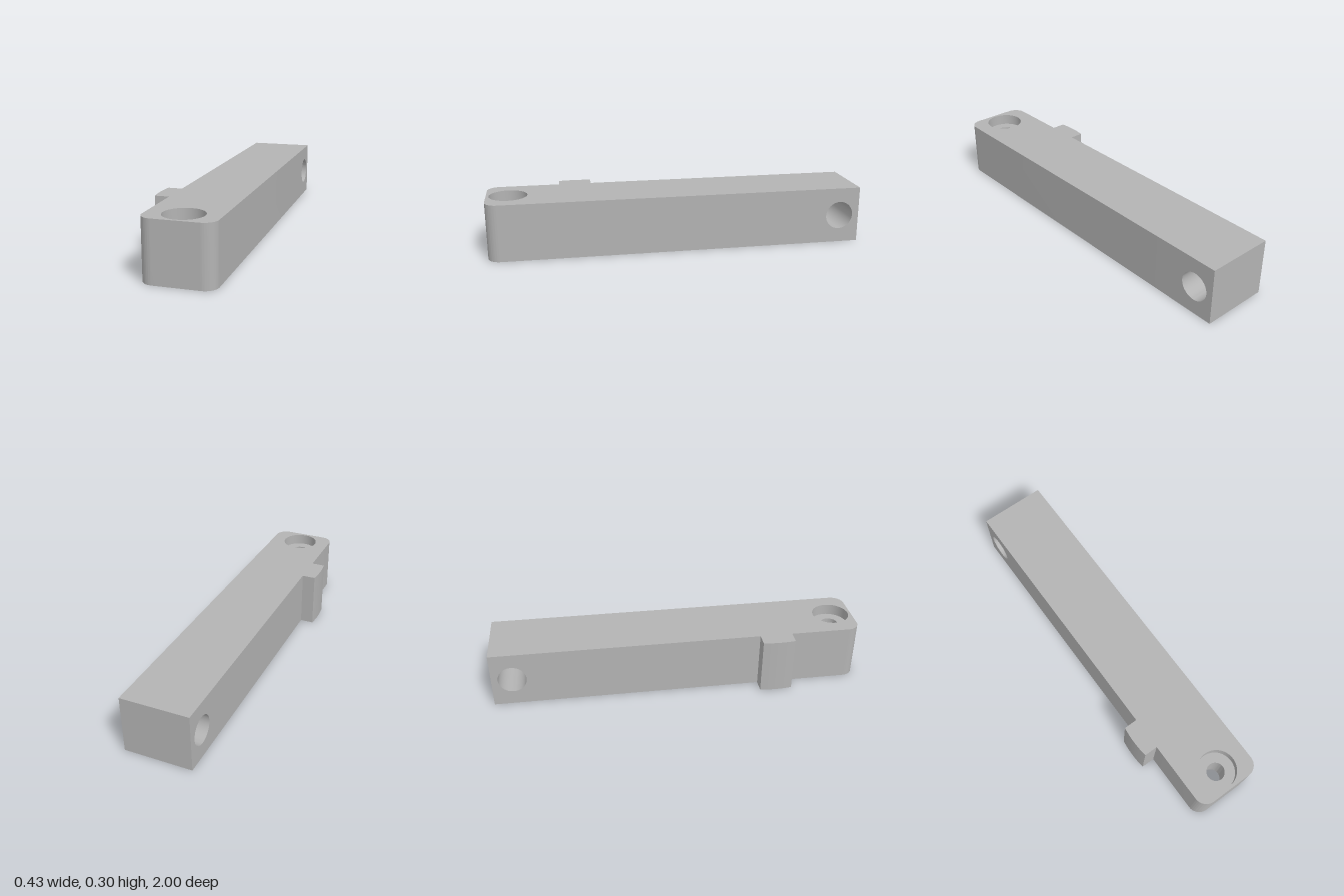
import * as THREE from 'three';
import { toCreasedNormals } from 'three/addons/utils/BufferGeometryUtils.js';

const H = 0.303, X0 = -0.139, X1 = 0.217; // bar height and sides
const SEAM = -0.75;                       // where the two extrusions meet
const R = 0.065;                          // front corner radius
const BORE = { x: 0.039, z: 0.885, wide: 0.1, narrow: 0.047, depth: 0.06 };

const grey = new THREE.MeshStandardMaterial({ color: 0xb3b3b3 });
grey.name = 'plain grey';

function addPart(group, name, geometry) {
  const mesh = new THREE.Mesh(toCreasedNormals(geometry, 0.6), grey);
  mesh.name = name;
  group.add(mesh);
  return mesh;
}

function roundHole(x, y, r) {
  return new THREE.Path().absarc(x, y, r, 0, Math.PI * 2, true);
}

export function createModel() {
  const group = new THREE.Group();
  group.name = 'latchBar';

  // Main bar with rounded front corners and side tab, drawn in plan (shape y = -z)
  const plan = new THREE.Shape();
  plan.moveTo(X0, -SEAM);
  plan.lineTo(X0, -0.44);
  plan.lineTo(-0.211, -0.44);
  plan.quadraticCurveTo(-0.224, -0.5275, -0.211, -0.615);
  plan.lineTo(X0, -0.615);
  plan.lineTo(X0, -1 + R);
  plan.absarc(X0 + R, -1 + R, R, Math.PI, Math.PI * 1.5, false);
  plan.absarc(X1 - R, -1 + R, R, Math.PI * 1.5, Math.PI * 2, false);
  plan.lineTo(X1, -SEAM);
  plan.closePath();
  plan.holes.push(roundHole(BORE.x, -BORE.z, BORE.wide));
  const bar = new THREE.ExtrudeGeometry(plan, { depth: H, bevelEnabled: false, curveSegments: 24 });
  bar.rotateX(-Math.PI / 2);
  addPart(group, 'barWithTab', bar);

  // Rear block with the cross hole, drawn from the side (shape x = -z)
  const side = new THREE.Shape();
  side.moveTo(-SEAM, 0);
  side.lineTo(1, 0);
  side.lineTo(1, H);
  side.lineTo(-SEAM, H);
  side.closePath();
  side.holes.push(roundHole(0.89, H / 2, 0.075));
  const rear = new THREE.ExtrudeGeometry(side, { depth: X1 - X0, bevelEnabled: false, curveSegments: 24 });
  rear.rotateY(Math.PI / 2);
  rear.translate(X0, 0, 0);
  addPart(group, 'rearBlock', rear);

  // Ledges and narrow bore between the two counterbores
  const { wide, narrow, depth } = BORE;
  const profile = [[wide, H - depth], [narrow, H - depth], [narrow, depth], [wide, depth]]
    .map(([x, y]) => new THREE.Vector2(x, y));
  const collar = addPart(group, 'boreCollar', new THREE.LatheGeometry(profile, 48));
  collar.position.set(BORE.x, 0, BORE.z);

  return group;
}
